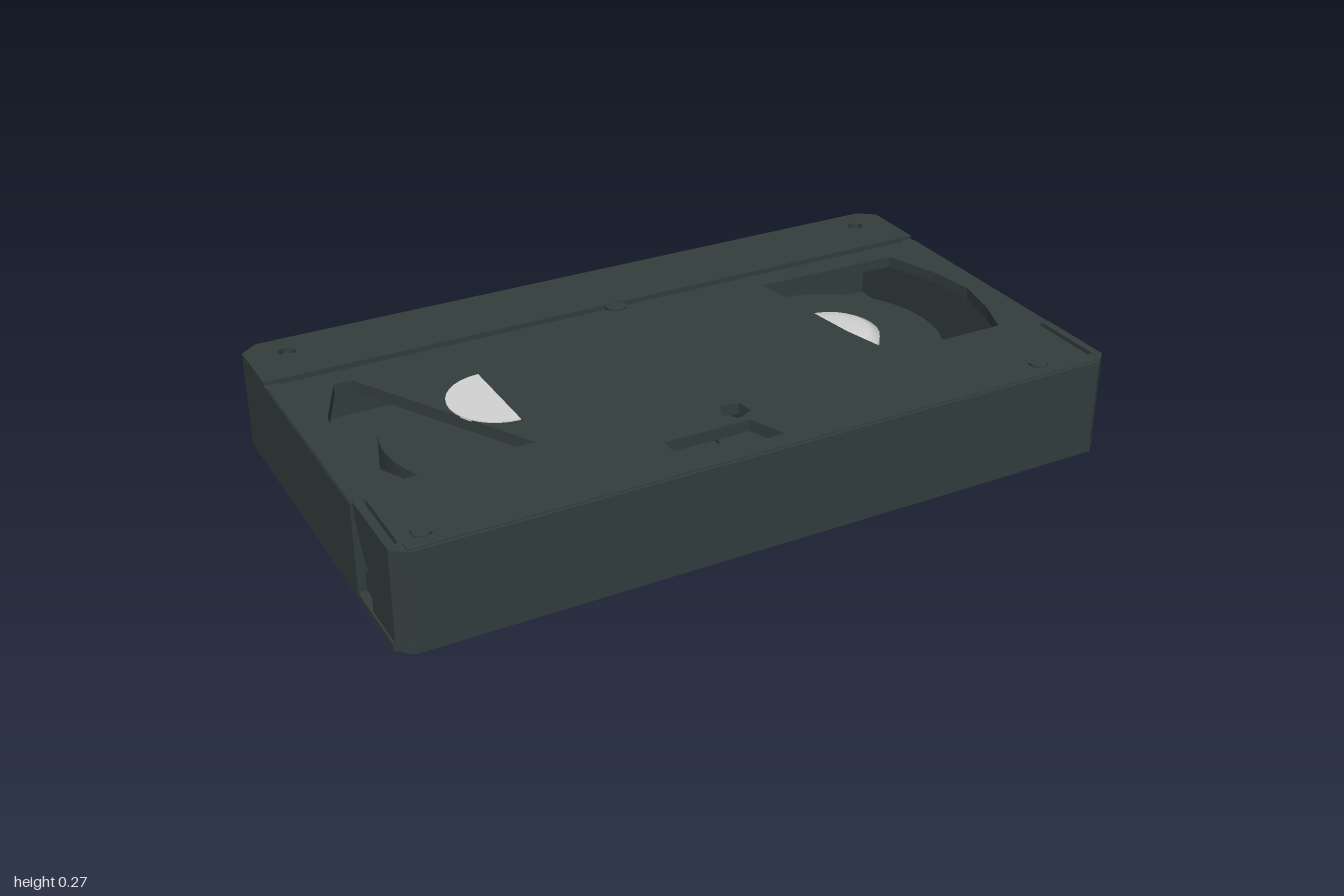
import * as THREE from 'three';

const shell = new THREE.MeshStandardMaterial({ color: 0x323d3c });
shell.name = 'dark shell plastic';
const hubWhite = new THREE.MeshStandardMaterial({ color: 0xd2d2d2 });
hubWhite.name = 'pale hub plastic';

const points = (list) => list.map(([a, b]) => new THREE.Vector2(a, b));
const circle = (x, z, r, n) => Array.from({ length: n }, (_, i) => {
  const a = (i / n) * Math.PI * 2 + 0.5;
  return [x + r * Math.cos(a), z + r * Math.sin(a)];
});

export function createModel() {
  const group = new THREE.Group();

  const add = (name, geometry, material = shell) => {
    const mesh = new THREE.Mesh(geometry, material);
    mesh.name = name;
    group.add(mesh);
    return mesh;
  };
  const box = (name, x0, x1, y0, y1, z0, z1) => add(name,
    new THREE.BoxGeometry(x1 - x0, y1 - y0, z1 - z0)
      .translate((x0 + x1) / 2, (y0 + y1) / 2, (z0 + z1) / 2));

  // Horizontal slab from an x/z outline, with optional holes
  const slab = (name, outline, y0, y1, holes = [], material = shell) => {
    const shape = new THREE.Shape(points(outline));
    holes.forEach((h) => shape.holes.push(new THREE.Path(points(h))));
    const g = new THREE.ExtrudeGeometry(shape, { depth: y1 - y0, bevelEnabled: false });
    return add(name, g.rotateX(Math.PI / 2).translate(0, y1, 0), material);
  };

  // Floor with clipped corners
  const outline = [
    [-0.95, -0.567], [0.95, -0.567], [0.997, -0.53], [0.997, 0.53],
    [0.96, 0.567], [-0.96, 0.567], [-0.997, 0.53], [-0.997, -0.53],
  ];
  slab('floor', outline, 0, 0.02);

  // Rear and side walls in one U-shaped extrusion
  slab('bodyWalls', [
    [-0.997, 0.305], [-0.997, -0.53], [-0.95, -0.567], [0.95, -0.567],
    [0.997, -0.53], [0.997, 0.305], [0.96, 0.305], [0.96, -0.53],
    [-0.96, -0.53], [-0.96, 0.305],
  ], 0.005, 0.263);

  // Top panel with window openings, label pit and release hole
  const leftWindow = [
    [-0.84, -0.26], [-0.79, -0.26], [-0.51, 0.25], [-0.85, 0.265],
    [-0.9, 0.16], [-0.93, 0.03], [-0.91, -0.1],
  ];
  const rightWindow = [
    [0.43, -0.26], [0.86, -0.255], [0.91, -0.1], [0.93, 0.03],
    [0.9, 0.16], [0.86, 0.265], [0.52, 0.265], [0.48, 0.1],
  ];
  const frontPit = [[-0.24, 0.4], [0, 0.4], [0.04, 0.5], [-0.24, 0.5]];
  const releaseHole = circle(-0.01, 0.34, 0.042, 5);
  slab('topPanel', [
    [-0.995, -0.325], [0.995, -0.325], [0.995, 0.3], [0.96, 0.31],
    [0.96, 0.55], [-0.96, 0.55], [-0.96, 0.31], [-0.995, 0.3],
  ], 0.235, 0.267, [leftWindow, rightWindow, frontPit, releaseHole]);
  box('frontPitFloor', -0.26, 0.06, 0.2, 0.21, 0.38, 0.52);
  box('releaseHoleFloor', -0.07, 0.05, 0.2, 0.21, 0.29, 0.38);

  // Raised grip band along the back, split from the panel by a groove
  const screwHoles = [-0.89, 0.89].map((x) => circle(x, -0.485, 0.025, 6));
  slab('backBand', [
    [-0.95, -0.567], [0.95, -0.567], [0.997, -0.53], [0.997, -0.345],
    [-0.997, -0.345], [-0.997, -0.53],
  ], 0.255, 0.273, screwHoles);
  slab('bandUnderlay', [
    [-0.98, -0.53], [0.98, -0.53], [0.98, -0.32], [-0.98, -0.32],
  ], 0.24, 0.258);
  add('grooveMark', new THREE.CylinderGeometry(0.03, 0.03, 0.012, 6).translate(0, 0.265, -0.33));

  // Hinged front flap: face plate with clipped ends and a thin top lip
  slab('flapFace', [
    [-0.992, 0.52], [-0.96, 0.52], [0.96, 0.52], [0.992, 0.52],
    [0.992, 0.535], [0.955, 0.568], [-0.955, 0.568], [-0.992, 0.535],
  ], 0.006, 0.27);
  box('flapLip', -0.955, 0.955, 0.262, 0.273, 0.53, 0.56);

  for (const side of [-1, 1]) {
    // Flap ear, cut back above the latch
    const ear = new THREE.ExtrudeGeometry(new THREE.Shape(points([
      [0.535, 0.006], [0.535, 0.271], [0.31, 0.271], [0.32, 0.22],
      [0.365, 0.14], [0.4, 0.105], [0.39, 0.006],
    ])), { depth: 0.022, bevelEnabled: false });
    ear.rotateY(-Math.PI / 2).translate(side * 0.981 + 0.011, 0, 0);
    add('flapEar', ear);

    // Recessed latch parts leave a small opening in the side
    const [a, b] = side > 0 ? [0.94, 0.975] : [-0.975, -0.94];
    box('latch', a, b, 0.01, 0.082, 0.3, 0.4);
    box('latchPost', a, b, 0.08, 0.118, 0.355, 0.41);
    box('latchBacking', a, b, 0.115, 0.25, 0.3, 0.42);

    // Reel of wound tape
    add('tapeReel', new THREE.CylinderGeometry(0.305, 0.305, 0.17, 40).translate(side * 0.5, 0.105, 0));
  }

  // Screw bosses near the front corners
  for (const x of [-0.9, 0.81]) {
    add('frontScrew', new THREE.CylinderGeometry(0.025, 0.025, 0.008, 6).translate(x, 0.268, 0.5));
  }

  // Right hub: stepped ring seen through the window
  add('rightHub', new THREE.LatheGeometry(points([
    [0.13, 0.18], [0.13, 0.215], [0.1, 0.23], [0.06, 0.235], [0, 0.236],
  ]), 28).translate(0.5, 0, 0), hubWhite);

  // Left hub: half disc flush with the panel
  const half = Array.from({ length: 17 }, (_, i) => {
    const a = Math.PI / 2 + (i / 16) * Math.PI;
    return [-0.495 + 0.135 * Math.cos(a), 0.135 * Math.sin(a)];
  });
  slab('leftHub', half, 0.264, 0.27, [], hubWhite);

  return group;
}
